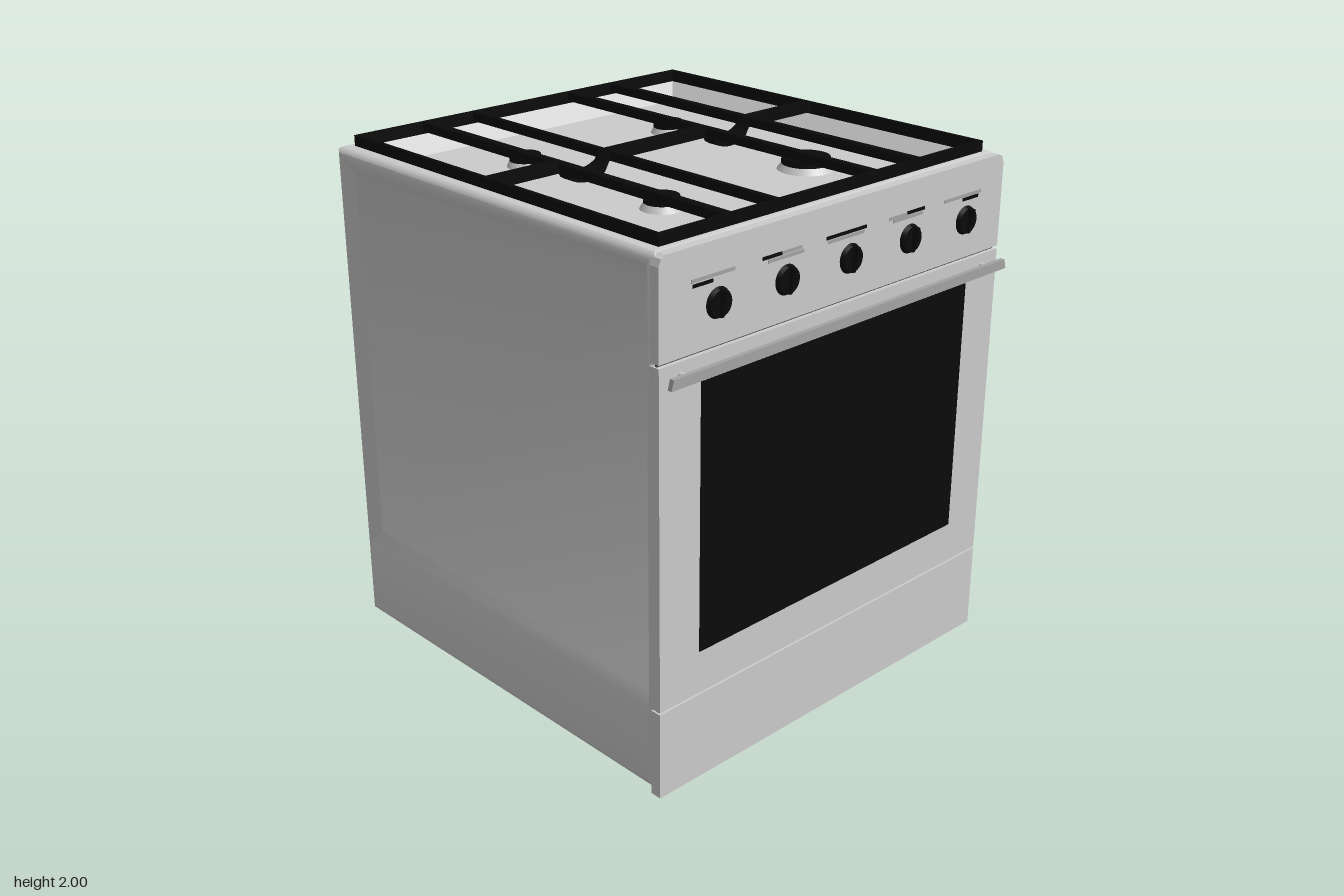
import * as THREE from 'three';
import { toCreasedNormals } from 'three/addons/utils/BufferGeometryUtils.js';

const steel = new THREE.MeshStandardMaterial({ color: 0xcccccc });
steel.name = 'steel';
const black = new THREE.MeshStandardMaterial({ color: 0x0a0a0a });
black.name = 'black';
const grey = new THREE.MeshStandardMaterial({ color: 0xa4a4a4 });
grey.name = 'midGrey';
const dark = new THREE.MeshStandardMaterial({ color: 0x555555 });
dark.name = 'seamGrey';

function add(parent, name, geometry, material, x = 0, y = 0, z = 0) {
  const mesh = new THREE.Mesh(geometry, material);
  mesh.name = name;
  mesh.position.set(x, y, z);
  parent.add(mesh);
  return mesh;
}

// Box given by its limits
function block(parent, name, material, x0, x1, y0, y1, z0, z1) {
  return add(parent, name, new THREE.BoxGeometry(x1 - x0, y1 - y0, z1 - z0), material,
    (x0 + x1) / 2, (y0 + y1) / 2, (z0 + z1) / 2);
}

// Nested rectangles [a0, a1, b0, b1, height] joined by strips and closed by a floor
function nestedFace(out, rings, map) {
  const loops = rings.map(([a0, a1, b0, b1, h]) =>
    [[a0, b0], [a1, b0], [a1, b1], [a0, b1]].map(([a, b]) => map(a, b, h)));
  const quad = (p, q, r, s) => out.push(...p, ...q, ...r, ...p, ...r, ...s);
  for (let k = 0; k + 1 < loops.length; k++) {
    for (let i = 0; i < 4; i++) {
      const j = (i + 1) % 4;
      quad(loops[k][i], loops[k][j], loops[k + 1][j], loops[k + 1][i]);
    }
  }
  quad(...loops[loops.length - 1]);
}

// Rounded cabinet with dished sides and a sunken hob
function cabinetGeometry() {
  const X = [-0.855, 0.855], Y = [0.01, 1.96], Z = [-0.9, 0.82], r = 0.035;
  const out = [];
  const face = (A, B, h, sign, map, recess = []) => {
    const edge = [[0.293, 0.293], [0.617, 0.076], [1, 0]].map(([inset, drop]) => [
      A[0] + inset * r, A[1] - inset * r, B[0] + inset * r, B[1] - inset * r, h - sign * drop * r]);
    nestedFace(out, [...edge, ...recess], map);
  };
  const dish = (y0, y1, z0, z1, d) => [y0 + d, y1 - d, z0 + d, z1 - d];
  const outer = dish(0.34, 1.915, -0.862, 0.815 - 0.03, 0);
  const inner = dish(0.34, 1.915, -0.862, 0.815, 0.05);
  const swap = ([a, b, c, d]) => [c, d, a, b];
  face(Y, Z, X[1], 1, (a, b, h) => [h, a, b], [[...outer, X[1]], [...inner, X[1] - 0.025]]);
  face(Z, Y, X[0], -1, (a, b, h) => [h, b, a], [[...swap(outer), X[0]], [...swap(inner), X[0] + 0.025]]);
  face(Z, X, Y[1], 1, (a, b, h) => [b, h, a],
    [[-0.845, 0.78, -0.8, 0.8, Y[1]], [-0.77, 0.705, -0.73, 0.73, 1.89]]);
  face(X, Z, Y[0], -1, (a, b, h) => [a, h, b]);
  face(X, Y, Z[1], 1, (a, b, h) => [a, b, h]);
  face(Y, X, Z[0], -1, (a, b, h) => [b, a, h]);
  const geometry = new THREE.BufferGeometry();
  geometry.setAttribute('position', new THREE.Float32BufferAttribute(out, 3));
  return toCreasedNormals(geometry, 0.5);
}

function extrude(points, depth) {
  const shape = new THREE.Shape(points.map(([x, y]) => new THREE.Vector2(x, y)));
  return new THREE.ExtrudeGeometry(shape, { depth, bevelEnabled: false });
}

function makeFront() {
  const front = new THREE.Group();
  front.name = 'front';
  const w = 0.857;
  block(front, 'drawerPanel', steel, -w, w, 0, 0.337, 0.795, 0.84);
  block(front, 'ovenDoor', steel, -w, w, 0.345, 1.592, 0.795, 0.84);
  add(front, 'controlPanel', extrude([[-w, 1.604], [w, 1.604], [w, 1.92], [w - 0.01, 1.945], [w - 0.03, 1.955],
    [0.03 - w, 1.955], [0.01 - w, 1.945], [-w, 1.92]], 0.04), steel, 0, 0, 0.8);
  for (const y of [0.341, 1.598]) block(front, 'seam', dark, -0.85, 0.85, y - 0.006, y + 0.006, 0.815, 0.824);
  block(front, 'ovenWindow', black, -0.675, 0.675, 0.51, 1.5, 0.838, 0.844);

  // Door handle: flared bar on two stubs
  add(front, 'handleBar', extrude([[-0.85, 1.53], [0.85, 1.53], [0.84, 1.566], [-0.84, 1.566]], 0.018),
    grey, 0, 0, 0.872);
  for (const x of [-0.765, 0.765]) {
    const stub = add(front, 'handleStub', new THREE.CylinderGeometry(0.011, 0.011, 0.04, 12), steel, x, 1.548, 0.857);
    stub.rotation.x = Math.PI / 2;
  }
  return front;
}

// Round dial with a stem and an upright tapered grip
function makeKnob(x) {
  const knob = new THREE.Group();
  knob.name = 'knob';
  knob.position.set(x, 1.757, 0);
  const stem = add(knob, 'knobStem', new THREE.CylinderGeometry(0.02, 0.02, 0.03, 16), black, 0, 0, 0.85);
  const dial = add(knob, 'knobDial', new THREE.CylinderGeometry(0.046, 0.053, 0.016, 28), black, 0, 0, 0.868);
  stem.rotation.x = dial.rotation.x = Math.PI / 2;
  const grip = add(knob, 'knobGrip',
    extrude([[-0.865, -0.045], [-0.865, 0.05], [-0.9, 0.046], [-0.882, -0.045]], 0.012), black, -0.006);
  grip.rotation.y = Math.PI / 2;
  return knob;
}

function makeHob() {
  const hob = new THREE.Group();
  hob.name = 'hob';
  // Burners: x, z, cap radius, base radius
  for (const [x, z, cap, base] of [[-0.365, -0.4, 0.058, 0.07], [0.355, -0.4, 0.058, 0.07],
    [-0.365, 0.33, 0.063, 0.078], [0.355, 0.33, 0.09, 0.108]]) {
    add(hob, 'burnerBase', new THREE.CylinderGeometry(cap, base, 0.025, 32), steel, x, 1.9, z);
    add(hob, 'burnerCap', new THREE.CylinderGeometry(cap, cap, 0.025, 32), black, x, 1.925, z);
  }

  // Pan support frame
  const x1 = 0.802, z0 = -0.846, z1 = 0.782, t = 0.016;
  block(hob, 'grateBack', black, -x1, x1, 1.955, 2, z0, z0 + t);
  block(hob, 'grateFront', black, -x1, x1, 1.955, 2, z1 - t, z1);
  for (const s of [-1, 1]) {
    const x = s * (x1 - t / 2);
    block(hob, 'grateSide', black, x - t / 2, x + t / 2, 1.955, 2, z0, z1);
  }
  for (const [x, w] of [[-0.49, 0.035], [-0.263, 0.02], [0.22, 0.03], [0.45, 0.03]]) {
    block(hob, 'grateBar', black, x - w / 2, x + w / 2, 1.965, 1.999, z0 + t, z1 - t);
  }

  // Cross bar with a dip between each pair of bars
  const line = [[-0.79, 1.998]];
  for (const c of [-0.375, 0.335]) {
    for (let i = 0; i <= 10; i++) {
      const u = i / 5 - 1;
      line.push([c + u * 0.1, 1.998 - 0.055 * Math.sqrt(1 - u * u)]);
    }
  }
  line.push([0.79, 1.998]);
  const under = line.map(([x, y]) => [x, y - 0.035]).reverse();
  add(hob, 'grateCrossBar', extrude([...under, ...line], 0.055), black, 0, 0, -0.092);
  return hob;
}

export function createModel() {
  const stove = new THREE.Group();
  stove.name = 'stove';
  add(stove, 'cabinet', cabinetGeometry(), steel);
  stove.add(makeFront(), makeHob());
  for (let i = -2; i <= 2; i++) stove.add(makeKnob(i * 0.311));

  // Small dial markings: material, x start, x end, y
  const marks = [[grey, -0.72, -0.53, 1.843], [black, -0.715, -0.625, 1.826],
    [black, -0.405, -0.315, 1.843], [grey, -0.315, -0.22, 1.843], [grey, -0.38, -0.21, 1.828],
    [black, -0.1, 0.1, 1.843], [grey, -0.09, 0.09, 1.828],
    [grey, 0.22, 0.315, 1.84], [black, 0.315, 0.41, 1.843], [grey, 0.24, 0.4, 1.828],
    [grey, 0.52, 0.73, 1.84], [black, 0.625, 0.715, 1.826]];
  for (const [m, a, b, y] of marks) block(stove, 'dialMark', m, a, b, y - 0.006, y + 0.006, 0.838, 0.842);
  return stove;
}
